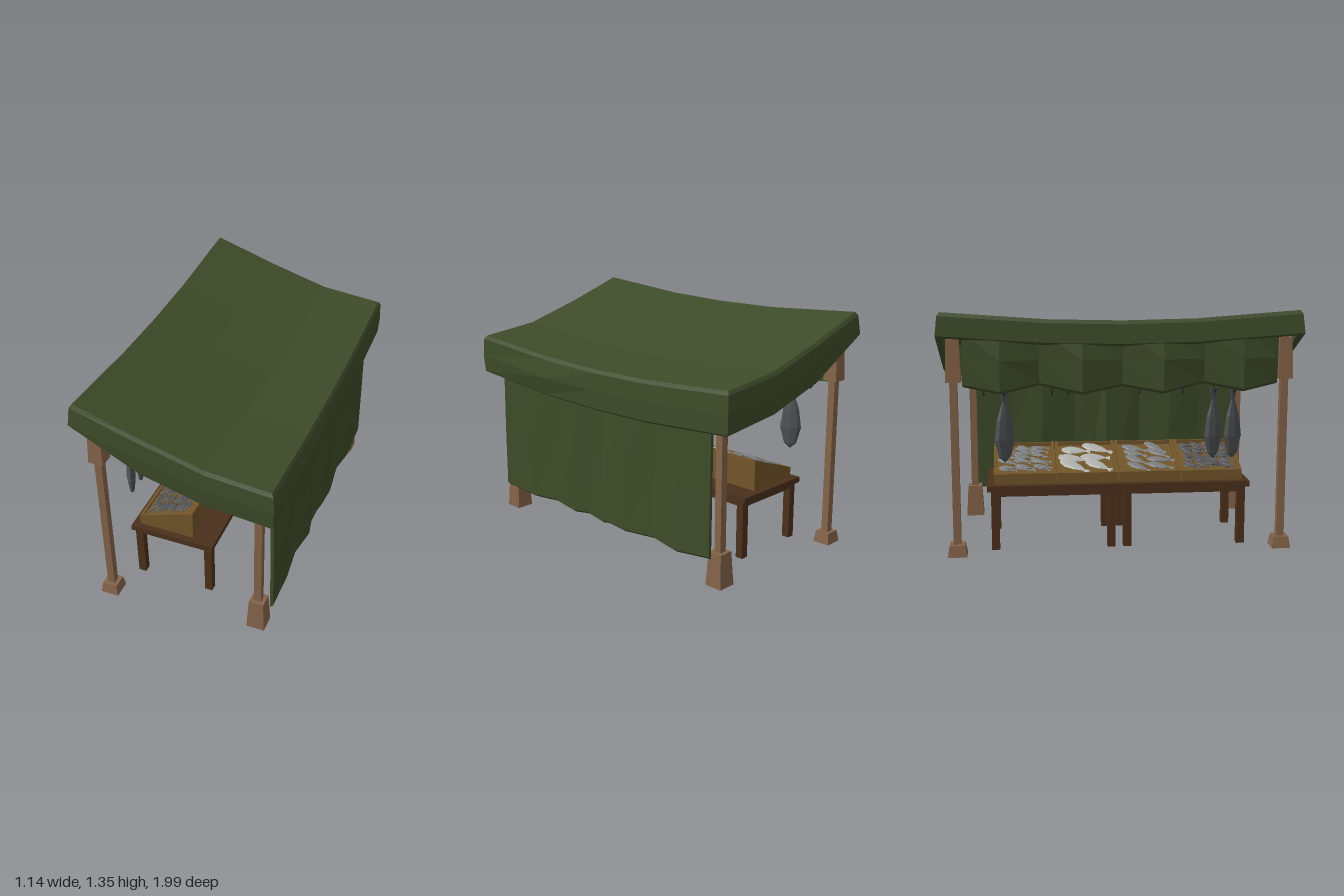
import * as THREE from 'three';

const mat = (color, side = THREE.FrontSide) =>
  new THREE.MeshStandardMaterial({ color, flatShading: true, side });
const cloth = mat(0x3e4b29, THREE.DoubleSide);
const postWood = mat(0x836349), tableWood = mat(0x4b301c), crateWood = mat(0x715529);
const iron = mat(0x2c2c2e), darkFish = mat(0x505153), greyFish = mat(0x7b7c7e), paleFish = mat(0xb0b0ac);

let seed = 7;
const rand = () => (seed = (seed * 16807) % 2147483647) / 2147483647;

function add(parent, name, geo, material, x = 0, y = 0, z = 0) {
  const m = new THREE.Mesh(geo, material);
  m.name = name;
  m.position.set(x, y, z);
  parent.add(m);
  return m;
}
const box = (parent, name, material, w, h, d, x, y, z) =>
  add(parent, name, new THREE.BoxGeometry(w, h, d), material, x, y, z);

// Square block standing on y, tapering from width a to width b
function taper(parent, name, a, b, h, x, y, z) {
  const geo = new THREE.CylinderGeometry(b * Math.SQRT1_2, a * Math.SQRT1_2, h, 4).rotateY(Math.PI / 4);
  return add(parent, name, geo, postWood, x, y + h / 2, z);
}

// Surface through rows of [x, y, z] points
function loft(rows, closeRows = false) {
  const n = rows[0].length, index = [];
  for (let i = 0; i < rows.length - (closeRows ? 0 : 1); i++)
    for (let j = 0; j < n - 1; j++) {
      const a = i * n + j, b = ((i + 1) % rows.length) * n + j;
      index.push(a, b, a + 1, b, b + 1, a + 1);
    }
  const geo = new THREE.BufferGeometry();
  geo.setAttribute('position', new THREE.Float32BufferAttribute(rows.flat(2), 3));
  geo.setIndex(index);
  geo.computeVertexNormals();
  return geo;
}

// Canopy height: falls towards +x and sags in the middle of its length
const xs = [-0.535, -0.18, 0.18, 0.535], ys = [1.35, 1.235, 1.135, 1.1];
const zs = [-0.97, -0.4, 0, 0.4, 0.97];
const roofY = (i, z) => ys[i] - 0.05 * (1 - (z / 0.97) ** 2);

function canopy(g) {
  // Outer cloth and lining
  for (const [name, down] of [['canopyRoof', 0], ['canopyLining', 0.025]])
    add(g, name, loft(xs.map((x, i) => zs.map(z => [x, roofY(i, z) - down, z]))), cloth);
  // Walk round the rim, then hang a thick skirt from it with a bevelled lower edge
  const rim = [];
  zs.forEach(z => rim.push([0, z]));
  [1, 2].forEach(i => rim.push([i, zs[4]]));
  [...zs].reverse().forEach(z => rim.push([3, z]));
  [2, 1].forEach(i => rim.push([i, zs[0]]));
  const rows = rim.map(([i, z]) => {
    const drop = i === 0 ? 0.14 : 0.238;
    const sx = i === 0 ? -1 : i === 3 ? 1 : 0;
    const sz = Math.abs(z) > 0.9 ? Math.sign(z) : 0;
    const bulge = i === 3 && z === 0.4 ? 0.034 : 0.018;
    const hem = i === 0 ? 0.024 : 0.012;
    return [[0, 0], [0.013, 0.02], [bulge, drop / 2], [hem, drop - 0.016], [-0.014, drop], [-0.014, 0.025]]
      .map(([out, down]) => [xs[i] + sx * out, roofY(i, z) - down, z + sz * out]);
  });
  add(g, 'canopySkirt', loft(rows, true), cloth);
}

// Thick folded sheet: each column lists z, then x at top, middle and bottom, then y at the bottom
function curtain(g, name, columns, topY, midY, facing) {
  const t = 0.009 * facing;
  const rows = columns.map(([z, top, mid, x, y]) => [
    [top + t, topY, z], [mid + t, midY, z], [x + t, y + 0.015, z],
    [x - t, y, z], [mid - t, midY, z], [top - t, topY, z], [top + t, topY, z]]);
  add(g, name, loft(rows), cloth);
  // Close both ends
  for (const r of [rows[0], rows[rows.length - 1]])
    add(g, name + 'End', loft([r.slice(0, 3), r.slice(3, 6).reverse()]), cloth);
}

function posts(g) {
  for (const s of [-1, 1]) {
    box(g, 'frontPost', postWood, 0.042, 1.28, 0.042, -0.449, 0.64, s * 0.91);
    taper(g, 'frontPostFoot', 0.105, 0.085, 0.065, -0.449, 0, s * 0.91);
    taper(g, 'frontPostHead', 0.085, 0.068, 0.23, -0.449, 0.97, s * 0.91);
    box(g, 'backPost', postWood, 0.042, 1.07, 0.042, 0.428, 0.535, s * 0.845);
    taper(g, 'backPostFoot', 0.105, 0.084, 0.19, 0.428, 0, s * 0.845);
  }
}

function table(g, zc) {
  const t = new THREE.Group();
  t.name = 'table';
  t.position.z = zc;
  for (let i = 0; i < 5; i++)
    box(t, 'tablePlank', tableWood, 0.1, 0.032, 0.745, -0.34 + i * 0.1, 0.354, 0);
  for (const s of [-1, 1]) {
    box(t, 'sideRail', tableWood, 0.025, 0.035, 0.68, -0.14 + s * 0.213, 0.322, 0);
    box(t, 'endRail', tableWood, 0.42, 0.035, 0.025, -0.14, 0.322, s * 0.333);
    for (const e of [-1, 1])
      box(t, 'tableLeg', tableWood, 0.045, 0.34, 0.045, -0.14 + s * 0.213, 0.17, e * 0.328);
  }
  g.add(t);
}

// Fish: nose at y = 0, small flared tail at y = 1, flattened in z
const fishShape = new THREE.LatheGeometry(
  [[0, 0], [0.09, 0.08], [0.155, 0.32], [0.115, 0.6], [0.03, 0.84], [0.08, 1], [0, 0.96]]
    .map(p => new THREE.Vector2(...p)), 8).scale(1, 1, 0.42);
const lyingFish = fishShape.clone().translate(0, -0.5, 0).rotateX(Math.PI / 2);

function crate(g, zc, { nx, nz, len, plump, material, layers }) {
  const c = new THREE.Group();
  c.name = 'crate';
  c.position.z = zc;
  const W = 0.35;
  const side = new THREE.Shape([[-0.35, 0.37], [-0.02, 0.37], [-0.02, 0.55], [-0.35, 0.43]]
    .map(p => new THREE.Vector2(...p)));
  for (const s of [-1, 1])
    add(c, 'crateSide', new THREE.ExtrudeGeometry(side, { depth: 0.016, bevelEnabled: false }),
      crateWood, 0, 0, s * (W / 2 - 0.008) - 0.008);
  box(c, 'crateFront', crateWood, 0.016, 0.06, W - 0.03, -0.342, 0.4, 0);
  box(c, 'crateBack', crateWood, 0.016, 0.176, W - 0.03, -0.028, 0.458, 0);
  // Sloping bed with the catch laid on it
  const bed = new THREE.Group();
  bed.name = 'fishBed';
  bed.position.set(-0.185, 0.47, 0);
  bed.rotation.z = Math.atan2(0.12, 0.33);
  box(bed, 'bedBoard', crateWood, 0.325, 0.012, W - 0.03, 0, -0.006, 0);
  for (let l = 0; l < layers; l++)
    for (let i = 0; i < nx; i++)
      for (let j = 0; j < nz; j++) {
        const f = add(bed, 'fish', lyingFish, material,
          ((i + 0.5) / nx - 0.5) * 0.27 + (rand() - 0.5) * 0.02, 0.008 + l * 0.01 + rand() * 0.006,
          ((j + 0.5) / nz - 0.5) * (0.31 - len * 0.3) + (rand() - 0.5) * 0.02);
        f.scale.set(len * plump, len, len * (0.9 + rand() * 0.2));
        f.rotation.y = -0.45 + (rand() - 0.5) * 0.8;
      }
  c.add(bed);
  g.add(c);
}

function hangingRail(g) {
  const bar = new THREE.CylinderGeometry(0.009, 0.009, 1.82, 6).rotateX(Math.PI / 2);
  add(g, 'hookRail', bar, postWood, -0.449, 0.99, 0);
  const withFish = [-0.64, 0.52, 0.63];
  for (const z of [-0.75, -0.38, -0.29, -0.2, 0.1, 0.22, 0.34, ...withFish]) {
    add(g, 'hookStem', new THREE.CylinderGeometry(0.005, 0.005, 0.07, 5), iron, -0.426, 0.955, z);
    add(g, 'hookCurve', new THREE.TorusGeometry(0.026, 0.005, 5, 8, Math.PI).rotateX(Math.PI),
      iron, -0.452, 0.92, z);
  }
  for (const z of withFish) {
    const f = add(g, 'hangingFish', fishShape, darkFish, -0.428, 0.515, z);
    f.scale.setScalar(0.4);
    f.rotation.y = Math.PI / 2 + 0.45;
  }
}

export function createModel() {
  const g = new THREE.Group();
  g.name = 'marketStall';
  canopy(g);
  curtain(g, 'backCurtain', [
    [0.85, 0.495, 0.503, 0.505, 0.155], [0.6, 0.48, 0.495, 0.5, 0.138],
    [0.41, 0.466, 0.47, 0.483, 0.15], [0.22, 0.495, 0.503, 0.506, 0.14],
    [0.12, 0.48, 0.48, 0.488, 0.15], [0, 0.466, 0.468, 0.483, 0.126],
    [-0.06, 0.475, 0.49, 0.5, 0.145], [-0.2, 0.495, 0.503, 0.506, 0.138],
    [-0.41, 0.464, 0.467, 0.483, 0.15], [-0.6, 0.49, 0.502, 0.505, 0.135],
    [-0.84, 0.495, 0.5, 0.502, 0.165]], 0.98, 0.53, 1);
  curtain(g, 'frontValance', [
    [0.86, -0.505, -0.5, -0.49, 0.945], [0.66, -0.525, -0.55, -0.552, 0.91],
    [0.45, -0.51, -0.505, -0.495, 0.95], [0.22, -0.525, -0.56, -0.563, 0.905],
    [0, -0.51, -0.505, -0.5, 0.94], [-0.22, -0.525, -0.56, -0.563, 0.905],
    [-0.45, -0.51, -0.505, -0.495, 0.95], [-0.66, -0.525, -0.55, -0.552, 0.91],
    [-0.86, -0.505, -0.5, -0.49, 0.945]], 1.25, 1.09, -1);
  posts(g);
  [-0.373, 0.373].forEach(z => table(g, z));
  const catches = [
    { nx: 4, nz: 3, len: 0.12, plump: 1, material: greyFish, layers: 2 },
    { nx: 3, nz: 2, len: 0.19, plump: 1.4, material: paleFish, layers: 1 },
    { nx: 4, nz: 2, len: 0.16, plump: 1.2, material: greyFish, layers: 1 },
    { nx: 6, nz: 4, len: 0.095, plump: 1, material: darkFish, layers: 2 }];
  catches.forEach((c, i) => crate(g, (i - 1.5) * 0.355, c));
  hangingRail(g);
  return g;
}
